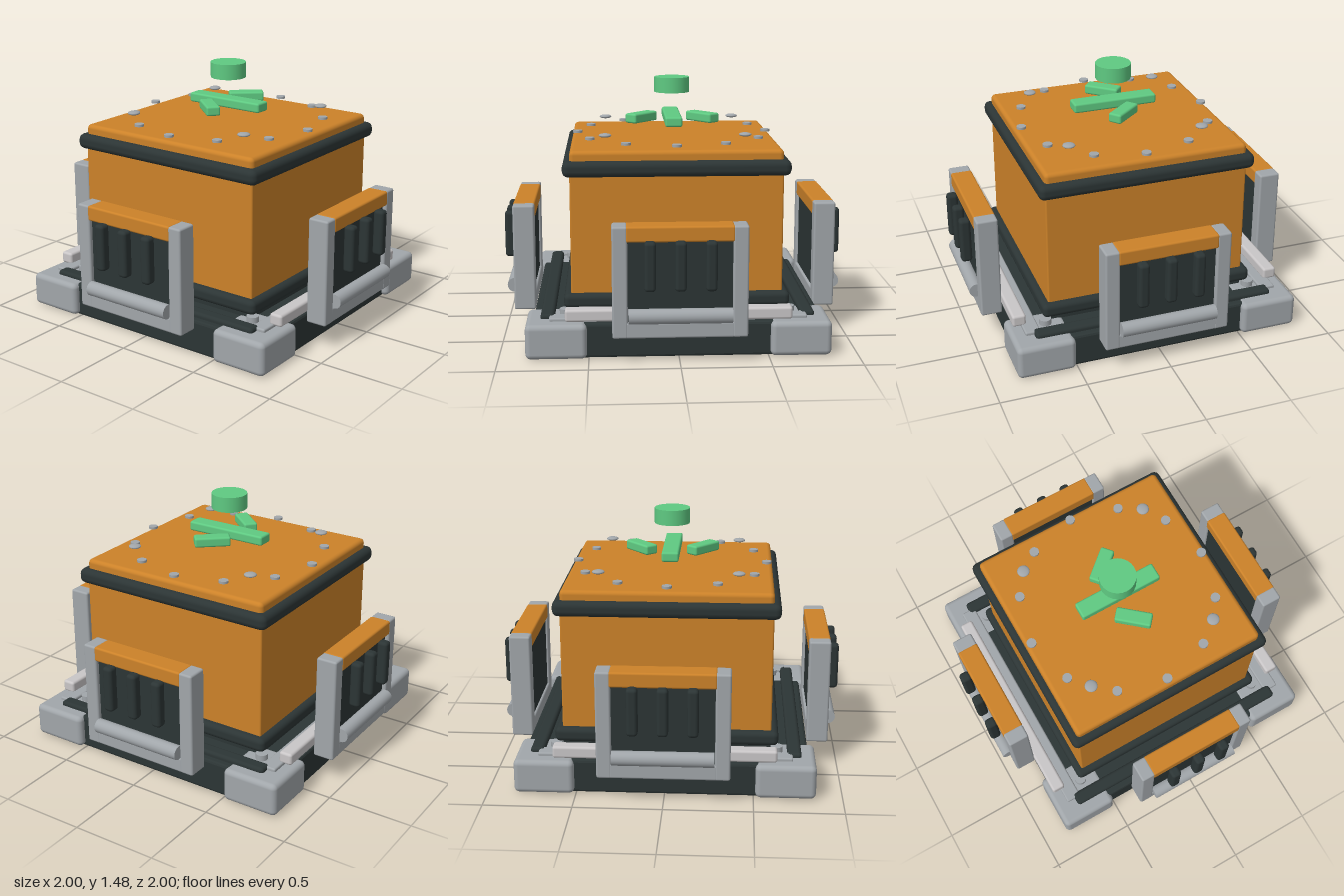
import * as THREE from 'three';
import { RoundedBoxGeometry } from 'three/addons/geometries/RoundedBoxGeometry.js';

const material = (name, color) => {
  const m = new THREE.MeshStandardMaterial({ color });
  m.name = name;
  return m;
};

export function createModel() {
  const orange = material('orange paint', 0xcc8229);
  const dark = material('dark rubber', 0x2c3535);
  const gray = material('gray metal', 0xa1a6aa);
  const light = material('light trim', 0xc9c6c7);
  const green = material('green indicator', 0x5fca82);
  const model = new THREE.Group();
  model.name = 'crate';

  const add = (parent, name, geometry, mat, x, y, z) => {
    const mesh = new THREE.Mesh(geometry, mat);
    mesh.name = name;
    mesh.position.set(x, y, z);
    parent.add(mesh);
    return mesh;
  };
  // Rounded box given by its lower and upper limits on each axis
  const box = (parent, name, mat, [x0, x1], [y0, y1], [z0, z1], r = 0.012) =>
    add(parent, name, new RoundedBoxGeometry(x1 - x0, y1 - y0, z1 - z0, 2, r), mat,
      (x0 + x1) / 2, (y0 + y1) / 2, (z0 + z1) / 2);
  const square = (name, mat, h, y, r) => box(model, name, mat, [-h, h], y, [-h, h], r);

  // Base slab with cut corners
  const b = 0.015, s = 0.81 - b, c = s - 0.2;
  const outline = new THREE.Shape([
    [s, -c], [s, c], [c, s], [-c, s], [-s, c], [-s, -c], [-c, -s], [c, -s],
  ].map(([x, y]) => new THREE.Vector2(x, y)));
  const slab = new THREE.ExtrudeGeometry(outline, {
    depth: 0.197 - 2 * b, bevelThickness: b, bevelSize: b, bevelSegments: 2,
  });
  slab.rotateX(-Math.PI / 2);
  add(model, 'baseSlab', slab, dark, 0, b, 0);

  // Corner feet and their bolts
  for (const sx of [-1, 1]) for (const sz of [-1, 1]) {
    add(model, 'cornerFoot', new RoundedBoxGeometry(0.34, 0.197, 0.34, 3, 0.03), gray,
      sx * 0.68, 0.1025, sz * 0.68);
    add(model, 'footBolt', new THREE.CylinderGeometry(0.035, 0.035, 0.04, 16), gray,
      sx * 0.63, 0.215, sz * 0.63);
  }

  // Rails around the body
  for (const k of [-1, 1]) {
    add(model, 'lightRail', new RoundedBoxGeometry(1.26, 0.07, 0.08, 2, 0.015), light, 0, 0.245, k * 0.78);
    add(model, 'metalStrip', new RoundedBoxGeometry(1.44, 0.04, 0.09, 2, 0.01), gray, 0, 0.2, k * 0.725);
    add(model, 'sideRail', new RoundedBoxGeometry(0.08, 0.06, 1.44, 2, 0.02), dark, k * 0.73, 0.197, 0);
  }

  // Body, lips and lid
  square('bodyNeck', dark, 0.6, [0.18, 0.26]);
  square('lowerLip', dark, 0.64, [0.23, 0.315], 0.03);
  square('body', orange, 0.6, [0.27, 1.03], 0.01);
  square('upperLip', dark, 0.64, [0.98, 1.07], 0.035);
  square('lid', orange, 0.6, [1.02, 1.125], 0.025);

  // Ring of lid rivets and four larger ones
  const rivet = new THREE.CylinderGeometry(0.028, 0.028, 0.014, 16);
  const stud = new THREE.SphereGeometry(0.037, 16, 8).scale(1, 0.32, 1);
  for (let i = 0; i < 12; i++) {
    const a = i * Math.PI / 6;
    add(model, 'lidRivet', rivet, gray, 0.565 * Math.cos(a), 1.148, 0.565 * Math.sin(a));
  }
  for (const sx of [-1, 1]) for (const sz of [-1, 1])
    add(model, 'lidStud', stud, gray, sx * 0.4, 1.183, sz * 0.4);

  // Green indicator: bar, two slanted wings and a cap
  box(model, 'indicatorBar', green, [-0.05, 0.05], [1.205, 1.262], [-0.253, 0.253]);
  for (const k of [-1, 1]) {
    const wing = add(model, 'indicatorWing', new RoundedBoxGeometry(0.082, 0.057, 0.21, 2, 0.012), green,
      k * 0.183, 1.2335, 0);
    wing.rotation.y = k * 0.71;
  }
  add(model, 'indicatorCap', new THREE.CylinderGeometry(0.105, 0.105, 0.09, 24), green, 0, 1.43, 0);

  // Framed vent on each of the four sides
  for (let i = 0; i < 4; i++) {
    const vent = new THREE.Group();
    vent.name = 'sideVent';
    vent.rotation.y = i * Math.PI / 2;
    model.add(vent);
    const depth = [0.815, 0.94];
    box(vent, 'ventPostLeft', gray, [0.285, 0.37], [0.15, 0.772], depth);
    box(vent, 'ventPostRight', gray, [-0.37, -0.285], [0.15, 0.772], depth);
    box(vent, 'ventSill', gray, [-0.3, 0.3], [0.15, 0.24], [0.816, 0.939]);
    box(vent, 'ventHeader', orange, [-0.295, 0.295], [0.685, 0.773], [0.814, 0.941]);
    box(vent, 'ventPanel', dark, [-0.3, 0.3], [0.22, 0.7], [0.83, 0.915]);
    const roller = add(vent, 'ventRoller', new THREE.CylinderGeometry(0.042, 0.042, 0.565, 20), gray, 0, 0.277, 0.943);
    roller.rotation.z = Math.PI / 2;
    for (const x of [-0.165, 0, 0.165])
      box(vent, 'ventRib', dark, [x - 0.031, x + 0.031], [0.425, 0.7], [0.935, 1], 0.02);
  }
  return model;
}
